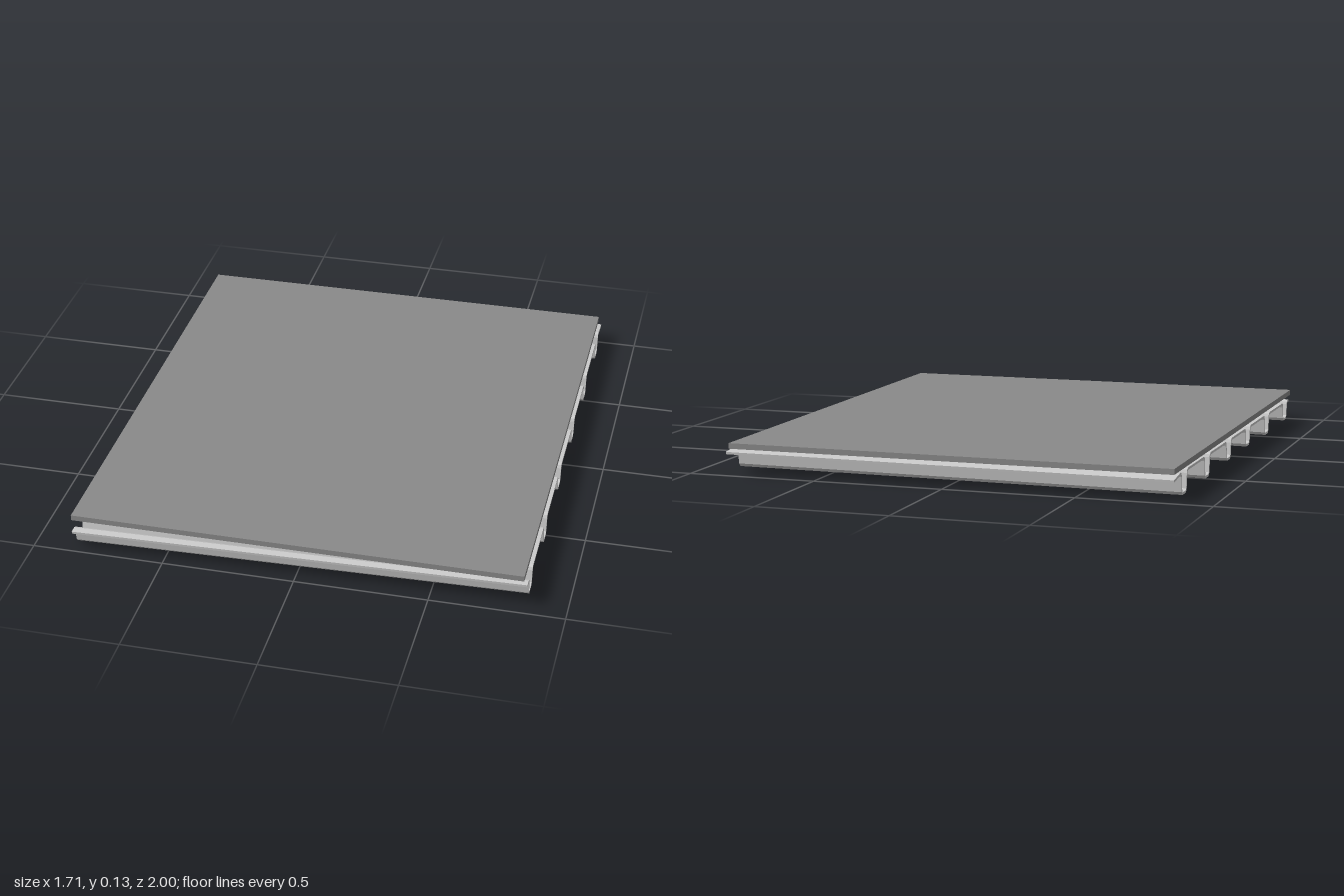
import * as THREE from 'three';

const LENGTH = 1.70;      // sheet length along x
const THICK = 0.009;      // sheet thickness
// Each rib: z position, bottom height, drift in z from one end to the other
const RIBS = [
  { z: 0.90, y: 0.021, skew: -0.03 },
  { z: 0.55, y: 0.015, skew: -0.005 },
  { z: 0.20, y: 0.023, skew: -0.005 },
  { z: -0.14, y: 0.021, skew: -0.03 },
  { z: -0.485, y: 0.013, skew: -0.03 },
  { z: -0.83, y: 0.013, skew: -0.045 },
];

// Drift at any z, interpolated between the ribs
function skewAt(z) {
  if (z >= RIBS[0].z) return RIBS[0].skew;
  for (let i = 1; i < RIBS.length; i++) {
    const a = RIBS[i - 1], b = RIBS[i];
    if (z >= b.z) return THREE.MathUtils.lerp(b.skew, a.skew, (z - b.z) / (a.z - b.z));
  }
  return RIBS[RIBS.length - 1].skew;
}

// Centre line of the folded sheet, front to back (u = -z)
function sheetLine() {
  const pts = [new THREE.Vector2(-0.98, 0.088)];
  for (const { z, y } of RIBS) {
    const half = [[0.053, 0.090], [0.044, 0.086], [0.040, 0.077], [0.032, y + 0.009], [0.023, y]];
    for (const [u, v] of half) pts.push(new THREE.Vector2(-z - u, v));
    for (const [u, v] of half.slice().reverse()) pts.push(new THREE.Vector2(-z + u, v));
  }
  pts.push(new THREE.Vector2(0.975, 0.078));
  return pts;
}

// Closed outline of even thickness around a line
function thicken(line, t) {
  const side = (s) => line.map((p, i) => {
    const a = line[Math.max(i - 1, 0)], b = line[Math.min(i + 1, line.length - 1)];
    const d = b.clone().sub(a).normalize();
    return new THREE.Vector2(p.x - d.y * s, p.y + d.x * s);
  });
  return new THREE.Shape([...side(-t / 2), ...side(t / 2).reverse()]);
}

export function createModel() {
  const model = new THREE.Group();
  model.name = 'slabOnRibbedSheet';

  // Flat slab, tipped slightly to the back
  const slab = new THREE.Mesh(
    new THREE.BoxGeometry(1.70, 0.021, 1.96),
    new THREE.MeshStandardMaterial({ color: 0x8a8a8a })
  );
  slab.name = 'topSlab';
  slab.position.set(-0.01, 0.1175, -0.02);
  slab.rotation.x = -0.004;
  model.add(slab);

  // Ribbed sheet, skewed a little and rising toward +x
  const geo = new THREE.ExtrudeGeometry(thicken(sheetLine(), THICK), {
    depth: LENGTH, steps: 12, bevelEnabled: false,
  });
  geo.translate(0, 0, -LENGTH / 2).rotateY(Math.PI / 2);
  const pos = geo.attributes.position;
  for (let i = 0; i < pos.count; i++) {
    const x = pos.getX(i), z = pos.getZ(i);
    pos.setY(i, pos.getY(i) + 0.009 * x);
    pos.setZ(i, z + skewAt(z) * x / LENGTH);
  }
  geo.computeVertexNormals();
  const sheet = new THREE.Mesh(geo, new THREE.MeshStandardMaterial({ color: 0xcccccc }));
  sheet.name = 'ribbedSheet';
  sheet.position.x = 0.003;
  model.add(sheet);

  return model;
}
